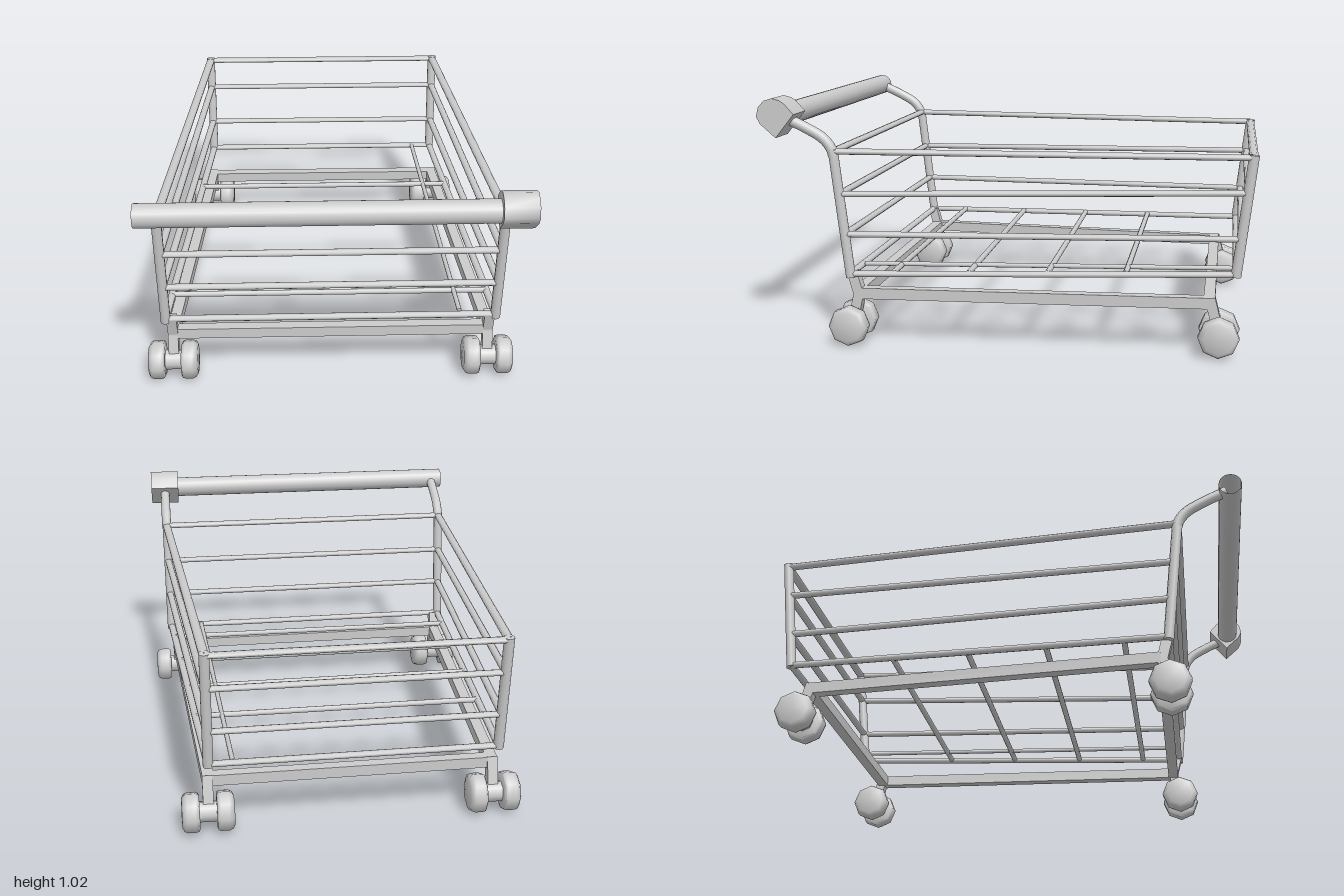
import * as THREE from 'three';
import { toCreasedNormals } from 'three/addons/utils/BufferGeometryUtils.js';

const V = (x, y, z) => new THREE.Vector3(x, y, z);

export function createModel() {
  const root = new THREE.Group();
  const mat = new THREE.MeshStandardMaterial({ color: 0xcccccc });
  const openMat = new THREE.MeshStandardMaterial({ color: 0xcccccc, side: THREE.DoubleSide });

  const add = (name, geo, parent = root, material = mat) => {
    const mesh = new THREE.Mesh(geo, material);
    mesh.name = name;
    parent.add(mesh);
    return mesh;
  };

  // Lay a z-aligned part between two points
  const span = (mesh, a, b) => {
    mesh.position.copy(a).add(b).multiplyScalar(0.5);
    mesh.lookAt(b);
  };

  // Rod between two points; w and h are its half width and half height
  const rod = (name, a, b, w, h, parent) => {
    const geo = new THREE.CylinderGeometry(1, 1, a.distanceTo(b), 10).rotateX(Math.PI / 2).scale(w, h, 1);
    span(add(name, geo, parent), a, b);
  };

  // Square beam between two points
  const beam = (name, a, b, w, parent) => {
    span(add(name, new THREE.BoxGeometry(w, w, a.distanceTo(b)), parent), a, b);
  };

  // Points on the leaning corner posts at a given height
  const frontAt = (s, y) => V(s * 0.69, y, 0.645 + 0.06 * (y - 0.285) / 0.52);
  const backAt = (s, y) => V(s * 0.575, y, -0.925 - 0.055 * (y - 0.325) / 0.485);

  // Basket: corner posts, rails and floor
  const basket = new THREE.Group();
  basket.name = 'basket';
  root.add(basket);
  for (const s of [-1, 1]) {
    rod('frontPost', frontAt(s, 0.278), frontAt(s, 0.81), 0.021, 0.021, basket);
    rod('backPost', backAt(s, 0.318), backAt(s, 0.813), 0.021, 0.021, basket);
  }
  // Front height, back height and half width of each rail loop
  const levels = [[0.802, 0.802, 0.019], [0.626, 0.66, 0.016], [0.459, 0.473, 0.016], [0.292, 0.327, 0.016]];
  for (const [yf, yb, w] of levels) {
    rod('frontRail', frontAt(-1, yf), frontAt(1, yf), w, 0.013, basket);
    rod('backRail', backAt(-1, yb), backAt(1, yb), w, 0.012, basket);
    for (const s of [-1, 1]) rod('sideRail', frontAt(s, yf), backAt(s, yb), w, 0.013, basket);
  }
  const f = frontAt(1, 0.295), b = backAt(1, 0.33);
  for (const z of [0.47, 0.155, -0.168, -0.485]) {
    const p = f.clone().lerp(b, (f.z - z) / (f.z - b.z));
    rod('floorBar', V(-p.x, p.y, z), p, 0.012, 0.012, basket);
  }
  rod('floorLengthBar', V(0.54, 0.3, 0.63), V(0.48, 0.33, -0.92), 0.01, 0.01, basket);

  // Handle with its curved arms and end block
  for (const s of [-1, 1]) {
    const curve = new THREE.CatmullRomCurve3([
      V(s * 0.69, 0.785, 0.703), V(s * 0.69, 0.81, 0.71), V(s * 0.69, 0.853, 0.743),
      V(s * 0.69, 0.895, 0.815), V(s * 0.69, 0.938, 0.91)]);
    add('handleArm', new THREE.TubeGeometry(curve, 12, 0.022, 10), root, openMat);
  }
  const bar = add('handleBar', new THREE.CylinderGeometry(0.047, 0.047, 1.39, 20, 1, true), root, openMat);
  bar.rotation.z = Math.PI / 2;
  bar.position.set(-0.047, 0.94, 0.928);

  // Outline in (-z, y), rounded above and pointed below
  const outline = [[-1, 0.945], [-0.99, 0.985], [-0.965, 1.01], [-0.933, 1.02], [-0.9, 1.012],
    [-0.878, 0.997], [-0.842, 0.957], [-0.921, 0.86], [-0.985, 0.916]];
  const blockGeo = new THREE.ExtrudeGeometry(
    new THREE.Shape(outline.map(([x, y]) => new THREE.Vector2(x, y))),
    { depth: 0.134, bevelEnabled: false });
  const block = add('handleEndBlock', toCreasedNormals(blockGeo, 0.95));
  block.rotation.y = Math.PI / 2;
  block.position.x = 0.623;

  // Lower frame ring
  const frame = new THREE.Group();
  frame.name = 'lowerFrame';
  root.add(frame);
  beam('frontBeam', V(-0.685, 0.208, 0.615), V(0.685, 0.208, 0.615), 0.046, frame);
  beam('backBeam', V(-0.595, 0.208, -0.822), V(0.595, 0.208, -0.822), 0.046, frame);
  for (const s of [-1, 1]) {
    beam('sideBeam', V(s * 0.664, 0.208, 0.61), V(s * 0.575, 0.208, -0.84), 0.046, frame);
    beam('basketStrut', V(s * 0.665, 0.295, 0.64), V(s * 0.665, 0.19, 0.612), 0.042, frame);
    beam('frontFork', V(s * 0.665, 0.22, 0.612), V(s * 0.665, 0.085, 0.643), 0.042, frame);
    beam('backFork', V(s * 0.578, 0.228, -0.825), V(s * 0.578, 0.085, -0.862), 0.042, frame);
  }

  // Twin-wheel casters: eight-sided wheels, fuller on the inner edge, rounded outside
  const profile = [[0, -0.036], [0.07, -0.036], [0.08, -0.031], [0.083, -0.02],
    [0.083, 0.012], [0.077, 0.026], [0.062, 0.034], [0, 0.036]];
  const wheelGeo = toCreasedNormals(
    new THREE.LatheGeometry(profile.map(([r, h]) => new THREE.Vector2(r, h)), 8), 0.9);
  wheelGeo.rotateZ(-Math.PI / 2);
  const hubGeo = new THREE.CylinderGeometry(0.043, 0.043, 0.1, 8).rotateZ(Math.PI / 2);
  for (const [x, z] of [[0.667, 0.643], [0.58, -0.863]]) {
    for (const s of [-1, 1]) {
      const caster = new THREE.Group();
      caster.name = 'caster';
      caster.position.set(s * x, 0.083, z);
      root.add(caster);
      add('hub', hubGeo, caster);
      for (const side of [-1, 1]) {
        const wheel = add('wheel', wheelGeo, caster);
        wheel.position.x = side * 0.07;
        wheel.rotation.y = side < 0 ? Math.PI : 0;
      }
    }
  }
  return root;
}
